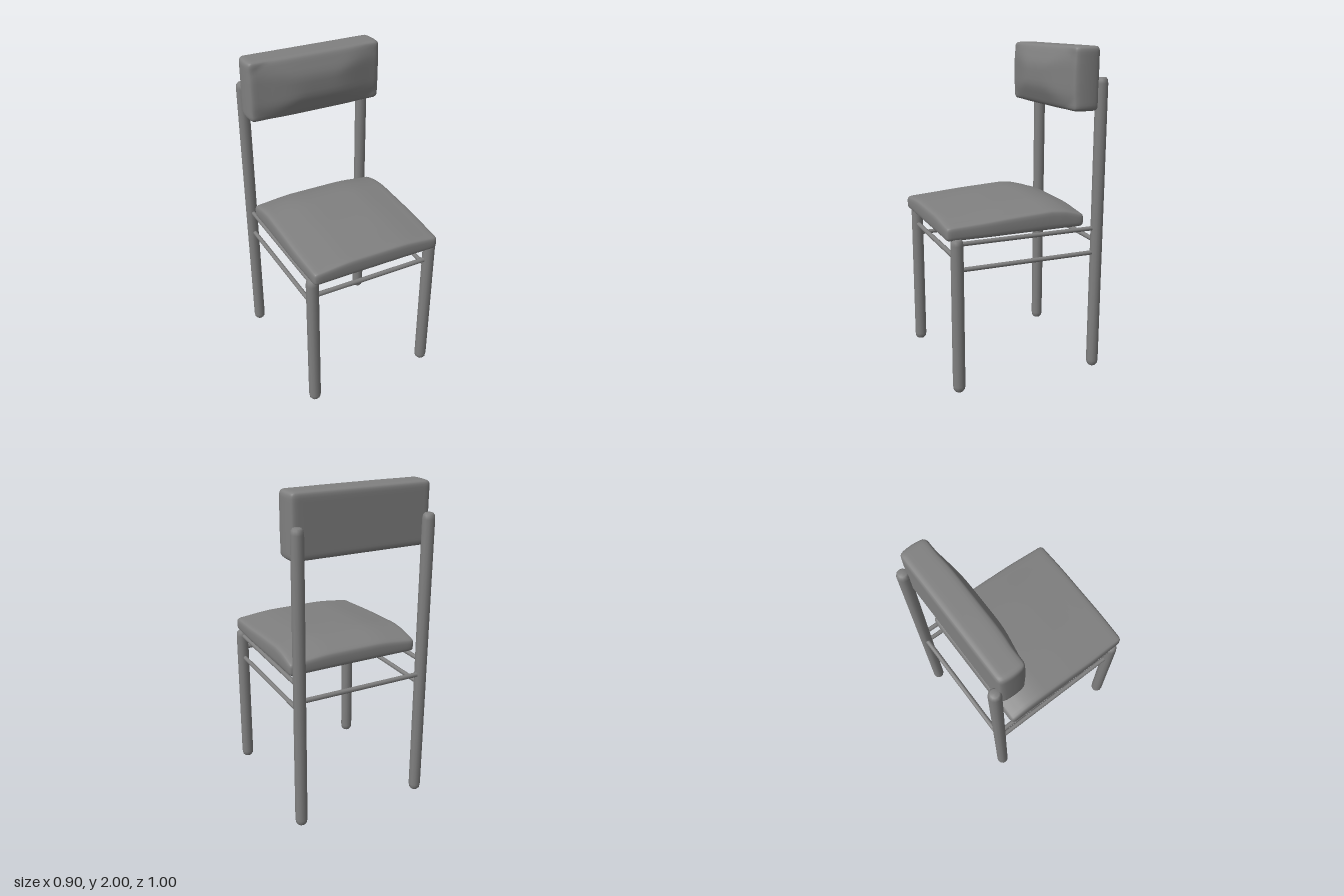
import * as THREE from 'three';
import { mergeVertices } from 'three/addons/utils/BufferGeometryUtils.js';

const material = new THREE.MeshStandardMaterial({ color: 0x808080 });
const { clamp, lerp, smoothstep } = THREE.MathUtils;

function addMesh(group, name, geometry) {
  const mesh = new THREE.Mesh(geometry, material);
  mesh.name = name;
  group.add(mesh);
  return mesh;
}

// Rounded box of the given size, dense enough to be bent by a rule
function cushion([w, h, d], r, [nx, ny, nz], rule) {
  let geo = new THREE.BoxGeometry(2, 2, 2, nx, ny, nz);
  geo.deleteAttribute('normal');
  geo.deleteAttribute('uv');
  geo = mergeVertices(geo);
  const pos = geo.attributes.position;
  const half = new THREE.Vector3(w / 2, h / 2, d / 2);
  const inner = half.clone().subScalar(r);
  const outer = inner.clone().negate();
  const p = new THREE.Vector3();
  const core = new THREE.Vector3();
  const spread = (t) => Math.sin((t * Math.PI) / 2); // crowd rows toward the edges
  for (let i = 0; i < pos.count; i++) {
    p.fromBufferAttribute(pos, i);
    p.set(spread(p.x), spread(p.y), spread(p.z)).multiply(half);
    core.copy(p).clamp(outer, inner);
    p.sub(core).setLength(r).add(core);
    rule(p);
    pos.setXYZ(i, p.x, p.y, p.z);
  }
  geo.computeVertexNormals();
  return geo;
}

// Straight post with softly rounded ends, standing on y = 0
function postGeometry(height, r) {
  const profile = [[0, 0], [0.65, 0], [0.9, 0.012], [1, 0.035]];
  const points = [
    ...profile.map(([k, y]) => new THREE.Vector2(k * r, y)),
    ...profile.toReversed().map(([k, y]) => new THREE.Vector2(k * r, height - y)),
  ];
  return new THREE.LatheGeometry(points, 12);
}

// Thin round rail between two points
function addRail(group, name, a, b, r) {
  const start = new THREE.Vector3(...a);
  const dir = new THREE.Vector3(...b).sub(start);
  const rail = addMesh(group, name, new THREE.CylinderGeometry(r, r, dir.length(), 10));
  rail.position.copy(start).addScaledVector(dir, 0.5);
  rail.quaternion.setFromUnitVectors(new THREE.Vector3(0, 1, 0), dir.normalize());
}

// Height of the seat's top along z, highest toward the back
const crown = [[-0.37, 1.035], [-0.25, 1.07], [-0.15, 1.08], [0.1, 1.067], [0.3, 1.053], [0.5, 1.04]];
function crownAt(z) {
  const i = clamp(crown.findIndex(([end]) => z <= end), 1, crown.length - 1);
  const [z0, y0] = crown[i - 1];
  const [z1, y1] = crown[i];
  return lerp(y0, y1, clamp((z - z0) / (z1 - z0), 0, 1));
}

export function createModel() {
  const chair = new THREE.Group();
  chair.name = 'chair';

  // Seat cushion: flat underside, crowned top
  const seatHeight = 0.1;
  addMesh(chair, 'seat', cushion([0.85, seatHeight, 0.87], 0.028, [24, 8, 24], (p) => {
    p.z += 0.065;
    p.x *= lerp(1, 0.98, smoothstep(p.z, 0.2, 0.5));
    const top = crownAt(p.z) - 0.024 * smoothstep(Math.abs(p.x), 0.15, 0.46);
    p.y = lerp(0.935, top, p.y / seatHeight + 0.5);
  }));

  // Backrest cushion: flat back, softly bulging front, slightly barrelled ends
  const backDepth = 0.2;
  addMesh(chair, 'backrest', cushion([0.88, 0.37, backDepth], 0.03, [28, 20, 10], (p) => {
    const across = smoothstep(Math.abs(p.x), 0.1, 0.5) * 1.1;
    const up = smoothstep(Math.abs(p.y), 0.04, 0.21);
    const front = -0.226 - 0.046 * Math.min(Math.hypot(across, up), 1.1);
    p.x *= 1 - 0.025 * (p.z / (backDepth / 2)) ** 2;
    p.z = lerp(-0.443, front, p.z / backDepth + 0.5);
    p.y += 1.813;
  }));

  // Legs and side rails, mirrored
  const backLeg = postGeometry(1.82, 0.037);
  const frontLeg = postGeometry(0.945, 0.038);
  for (const [side, s] of [['left', 1], ['right', -1]]) {
    addMesh(chair, `${side}BackLeg`, backLeg).position.set(s * 0.411, 0, -0.463);
    addMesh(chair, `${side}FrontLeg`, frontLeg).position.set(s * 0.401, 0, 0.435);
    for (const [level, y] of [['Upper', 0.913], ['Lower', 0.758]]) {
      addRail(chair, `${side}${level}Rail`, [s * 0.4, y, 0.435], [s * 0.41, y, -0.463], 0.014);
    }
  }

  // Cross rails at front and back
  addRail(chair, 'frontRail', [-0.4, 0.825, 0.435], [0.4, 0.825, 0.435], 0.015);
  addRail(chair, 'backRail', [-0.41, 0.825, -0.467], [0.41, 0.825, -0.467], 0.015);

  return chair;
}
